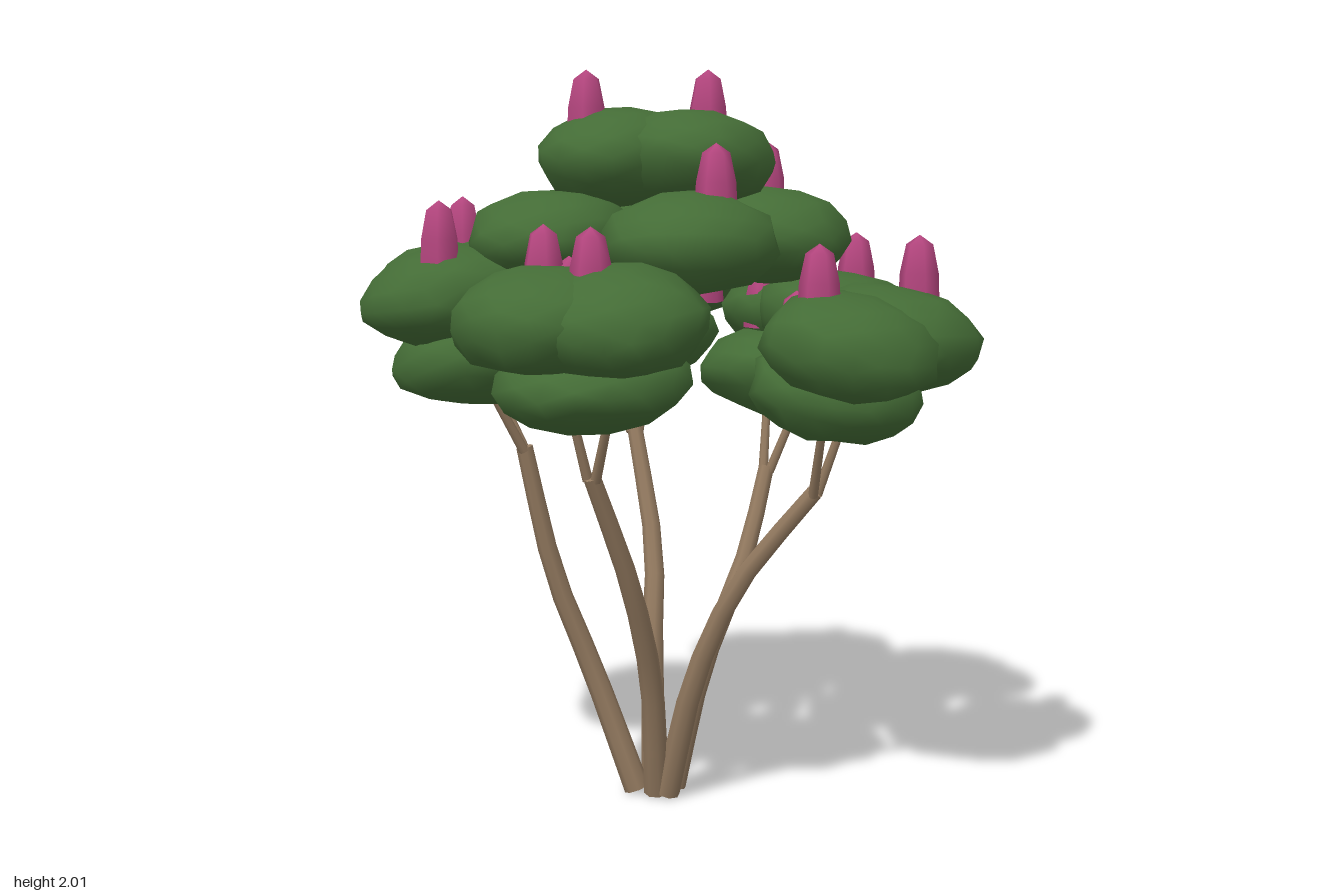
import * as THREE from 'three';
import { mergeVertices } from 'three/addons/utils/BufferGeometryUtils.js';

const material = (name, color) => new THREE.MeshStandardMaterial({ name, color });

export function createModel() {
  const group = new THREE.Group();
  const bark = material('bark', 0x92795f);
  const leaf = material('leafGreen', 0x446c36);
  const petal = material('petalPink', 0xb5467f);

  let seed = 7;
  const random = () => (seed = (seed * 16807) % 2147483647) / 2147483647;

  const add = (name, geometry, mat) => {
    const mesh = new THREE.Mesh(geometry, mat);
    mesh.name = name;
    group.add(mesh);
    return mesh;
  };

  // Tapered limb: a tube whose rings shrink towards the tip, closed by end discs
  function limb(name, points, r0, r1) {
    const curve = new THREE.CatmullRomCurve3(points.map((p) => new THREE.Vector3(...p)));
    const rings = points.length > 2 ? 7 : 1, sides = 8;
    const geo = new THREE.TubeGeometry(curve, rings, 1, sides);
    const pos = geo.attributes.position;
    const v = new THREE.Vector3();
    for (let i = 0; i < pos.count; i++) {
      const t = Math.floor(i / (sides + 1)) / rings;
      const c = curve.getPointAt(t);
      v.fromBufferAttribute(pos, i).sub(c).multiplyScalar(r0 + (r1 - r0) * t).add(c);
      pos.setXYZ(i, v.x, v.y, v.z);
    }
    add(name, geo, bark);
    for (const [t, r, dir] of [[0, r0, -1], [1, r1, 1]]) {
      const cap = add(name + 'End', new THREE.CircleGeometry(r, sides), bark);
      cap.position.copy(curve.getPointAt(t));
      cap.quaternion.setFromUnitVectors(new THREE.Vector3(0, 0, 1), curve.getTangentAt(t).multiplyScalar(dir));
    }
  }

  // Flattened, slightly lumpy leaf pad leaning away from the trunk
  function leafPad(x, y, z, r, tilt, ry) {
    let geo = new THREE.IcosahedronGeometry(1, 2);
    geo.deleteAttribute('normal');
    geo.deleteAttribute('uv');
    geo = mergeVertices(geo, 1e-4);
    const pos = geo.attributes.position;
    for (let i = 0; i < pos.count; i++) {
      const s = 0.95 + 0.12 * random();
      pos.setXYZ(i, pos.getX(i) * r * s, pos.getY(i) * ry * s, pos.getZ(i) * r * s);
    }
    geo.rotateY(random() * 6.28);
    geo.computeVertexNormals();
    const mesh = add('leafPad', geo, leaf);
    mesh.position.set(x, y, z);
    const axis = new THREE.Vector3(z, 0, -x).normalize();
    mesh.quaternion.setFromAxisAngle(axis, tilt);
  }

  // Trunks spreading from one foot: foot, two bends, tip
  const trunks = [
    [[-0.12, 0, 0.03], [-0.23, 0.33, 0.08], [-0.31, 0.62, 0.155], [-0.36, 0.98, 0.22]],
    [[-0.11, 0, -0.04], [-0.17, 0.4, -0.12], [-0.22, 0.63, -0.2], [-0.35, 0.97, -0.29]],
    [[-0.06, 0, 0.02], [-0.02, 0.33, 0.1], [0.0, 0.62, 0.22], [-0.02, 0.95, 0.37]],
    [[-0.05, 0, -0.05], [0.01, 0.33, -0.1], [0.06, 0.64, -0.25], [0.055, 0.88, -0.37]],
    [[-0.03, 0, 0.01], [0.08, 0.36, 0.03], [0.2, 0.62, 0.01], [0.4, 0.89, -0.06]],
  ];
  // Lower leaf pad of each trunk: x, y, z, radius
  const lowerPads = [
    [-0.44, 1.235, 0.29, 0.25], [-0.43, 1.235, -0.38, 0.25], [0.03, 1.215, 0.43, 0.25],
    [0.08, 1.15, -0.43, 0.24], [0.48, 1.17, -0.02, 0.225],
  ];
  trunks.forEach((points, i) => {
    limb('trunk', points, 0.036, 0.023);
    const [x, y, z] = points[3];
    const [px, py, pz, r] = lowerPads[i];
    const d = Math.hypot(px, pz);
    for (const side of [-1, 1]) {
      const sx = (-pz / d) * side, sz = (px / d) * side;
      limb('twig', [[x + sx * 0.012, y - 0.01, z + sz * 0.012],
        [px * 1.04 + sx * 0.08, py, pz * 1.04 + sz * 0.08]], 0.014, 0.01);
    }
    leafPad(px, py, pz, r, 0.12, 0.13);
  });

  // Outer ring of leaf pads: x, y, z, radius
  const outerPads = [
    [-0.59, 1.41, 0.21, 0.24], [-0.48, 1.4, 0.38, 0.24],
    [-0.38, 1.41, -0.5, 0.245], [-0.56, 1.41, -0.36, 0.235],
    [-0.02, 1.375, 0.56, 0.24], [0.16, 1.375, 0.5, 0.23],
    [0.06, 1.31, -0.57, 0.235], [0.23, 1.31, -0.48, 0.235],
    [0.59, 1.31, -0.13, 0.23], [0.57, 1.3, 0.06, 0.23],
  ];
  outerPads.forEach(([x, y, z, r]) => leafPad(x, y, z, r, 0.16, 0.135));

  // Middle tier and crown
  const upperPads = [
    [-0.3, 1.555, -0.2, 0.235], [0.13, 1.55, -0.25, 0.225],
    [0.17, 1.555, 0.19, 0.225], [-0.28, 1.555, 0.2, 0.225],
    [-0.17, 1.765, 0.04, 0.215], [0.02, 1.765, -0.04, 0.215],
  ];
  upperPads.forEach(([x, y, z, r]) => leafPad(x, y, z, r, 0.06, 0.13));

  // Upright blossom cones: x, tip height, z
  const blossomProfile = [[0.055, 0], [0.052, 0.07], [0.036, 0.145], [0, 0.17]].map((p) => new THREE.Vector2(...p));
  const blossomGeo = new THREE.LatheGeometry(blossomProfile, 6);
  const blossoms = [
    [-0.44, 1.64, -0.58], [-0.55, 1.66, -0.4], [-0.03, 1.56, -0.55], [0.24, 1.55, -0.55],
    [0.09, 1.81, -0.3], [-0.28, 1.79, -0.18], [0.05, 2, -0.07], [-0.23, 2, 0.1],
    [0.22, 1.81, 0.15], [0.61, 1.57, -0.23], [0.38, 1.43, 0.01], [0.5, 1.56, 0.1],
    [-0.55, 1.66, 0.24], [-0.43, 1.66, 0.48], [-0.07, 1.55, 0.29], [-0.07, 1.61, 0.5],
    [0.1, 1.61, 0.53], [0.02, 1.45, -0.4], [0.05, 1.55, -0.05], [-0.02, 1.53, 0.46],
  ];
  for (const [x, tip, z] of blossoms) {
    const blossom = add('blossom', blossomGeo, petal);
    blossom.position.set(x, tip - 0.17, z);
    blossom.rotation.y = random();
  }
  return group;
}
